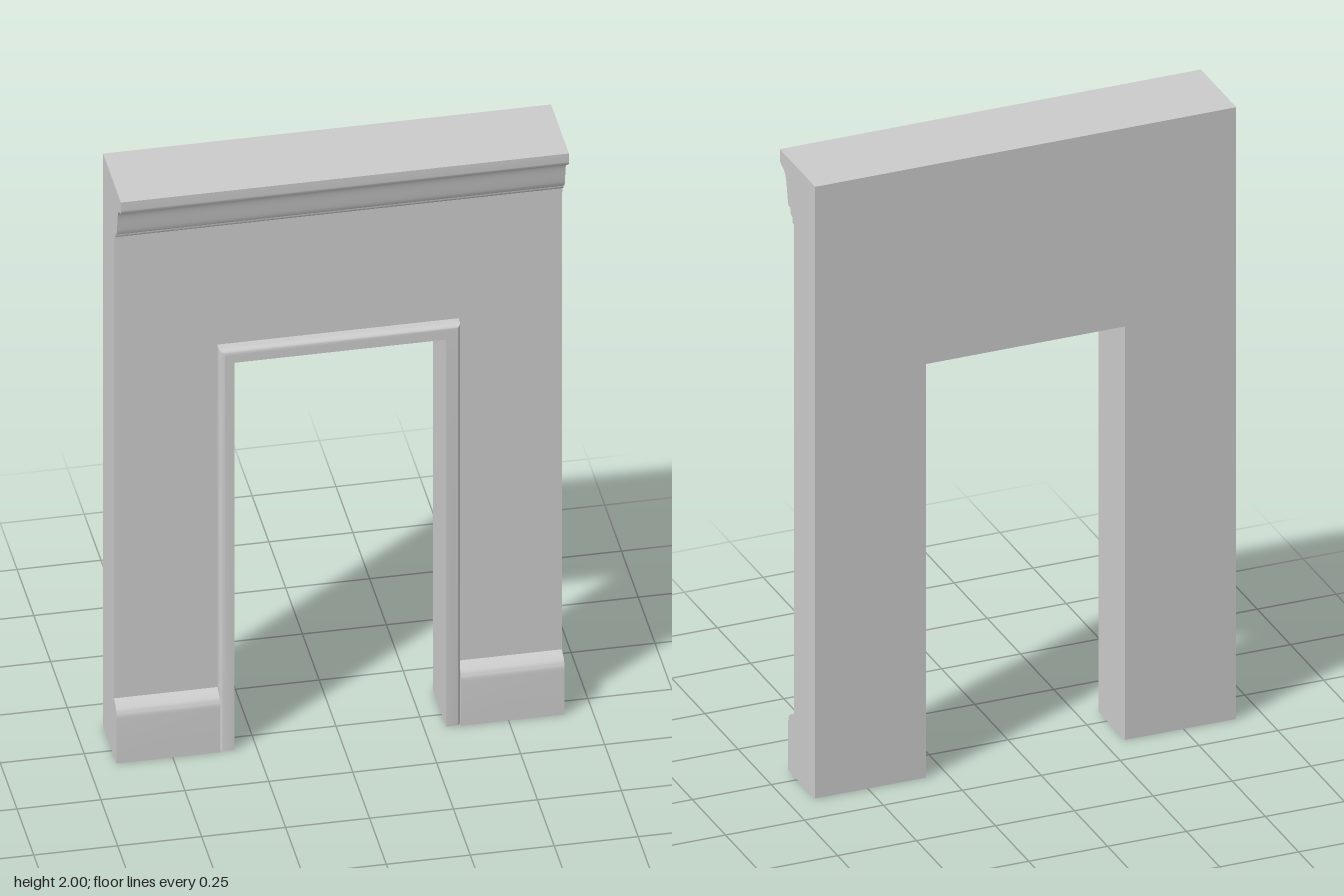
import * as THREE from 'three';
import { toCreasedNormals } from 'three/addons/utils/BufferGeometryUtils.js';

const W = 0.667;               // half width
const BACK = -0.133, WALL = 0.027; // back and front planes of the wall
const OX = 0.315, OY = 1.352;  // opening half width and height
const TRIM = 0.044;            // trim width
const BASE_TOP = 0.2, CORNICE_BOTTOM = 1.803;

const material = new THREE.MeshStandardMaterial({ color: 0xcccccc, side: THREE.DoubleSide });

// Skin a surface over rows of [x, y, z] points
function loft(rows) {
  const pos = [];
  for (let i = 0; i < rows.length - 1; i++) {
    for (let j = 0; j < rows[i].length - 1; j++) {
      const a = rows[i][j], b = rows[i + 1][j], c = rows[i + 1][j + 1], d = rows[i][j + 1];
      pos.push(...a, ...b, ...c, ...a, ...c, ...d);
    }
  }
  const g = new THREE.BufferGeometry();
  g.setAttribute('position', new THREE.Float32BufferAttribute(pos, 3));
  g.computeVertexNormals();
  return toCreasedNormals(g, 0.6);
}

// Run a [z, y] profile straight along x
const run = (profile, x0, x1) => loft([x0, x1].map(x => profile.map(([z, y]) => [x, y, z])));

// Flat cap of a [z, y] outline at a given x, facing +x or -x
function cap(outline, x, dir) {
  const shape = new THREE.Shape(outline.map(([z, y]) => new THREE.Vector2(-dir * z, y)));
  return new THREE.ShapeGeometry(shape).rotateY(dir * Math.PI / 2).translate(x, 0, 0);
}

// Flat wall panel with a doorway notch cut up from its bottom edge
function notched(bottom, top, nx, ny) {
  const pts = [[-W, bottom], [-nx, bottom], [-nx, ny], [nx, ny], [nx, bottom], [W, bottom], [W, top], [-W, top]];
  return new THREE.ShapeGeometry(new THREE.Shape(pts.map(p => new THREE.Vector2(...p))));
}

// Sample a cubic curve between [u, v] points
function bezier(a, b, c, d, n = 10) {
  const v = p => new THREE.Vector2(...p);
  return new THREE.CubicBezierCurve(v(a), v(b), v(c), v(d)).getPoints(n).map(p => [p.x, p.y]);
}

export function createModel() {
  const group = new THREE.Group();
  const add = (name, geometry) => {
    const mesh = new THREE.Mesh(geometry, material);
    mesh.name = name;
    group.add(mesh);
  };

  // Moulding profiles, bottom to top, as [z, y]
  const baseProfile = [
    [0.07, 0],
    ...bezier([0.07, 0.155], [0.07, 0.185], [0.05, 0.192], [WALL, BASE_TOP]),
  ];
  const corniceProfile = [
    [WALL, CORNICE_BOTTOM], [0.038, CORNICE_BOTTOM], [0.038, 1.822],
    ...bezier([0.042, 1.822], [0.052, 1.824], [0.054, 1.832], [0.054, 1.845], 6),
    [0.066, 1.845],
    ...bezier([0.07, 1.85], [0.084, 1.9], [0.08, 1.945], [0.112, 1.95]),
    ...bezier([0.116, 1.953], [0.126, 1.954], [0.133, 1.96], [0.133, 1.97], 6),
    [0.133, 2],
  ];

  // Wall faces
  add('wallFront', notched(BASE_TOP, CORNICE_BOTTOM, OX + TRIM, OY + TRIM).translate(0, 0, WALL));
  add('wallBack', notched(0, 2, OX, OY).rotateY(Math.PI).translate(0, 0, BACK));

  // Cornice, with the flat top running to the back
  add('cornice', run([...corniceProfile, [BACK, 2]], -W, W));

  // Side faces and baseboards, mirrored
  const sideOutline = [[BACK, 0], ...baseProfile, ...corniceProfile, [BACK, 2]];
  for (const [side, s] of [['left', 1], ['right', -1]]) {
    const inner = OX + TRIM;
    add(side + 'WallSide', cap(sideOutline, s * W, s));
    add(side + 'Baseboard', s > 0 ? run(baseProfile, inner, W) : run(baseProfile, -W, -inner));
    add(side + 'BaseboardEnd', cap([[WALL, 0], ...baseProfile], s * inner, -s));
  }

  // Door jambs and rounded trim: [offset from opening, z] swept round the doorway with mitres
  const trimProfile = [
    [0, BACK], [0, 0.066], [0.026, 0.066],
    ...bezier([0.028, 0.066], [0.037, 0.066], [TRIM, 0.06], [TRIM, 0.048], 8),
    [TRIM, WALL],
  ];
  const corners = [[-1, 0], [-1, 1], [1, 1], [1, 0]];
  add('doorwayTrim', loft(corners.map(([sx, up]) =>
    trimProfile.map(([o, z]) => [sx * (OX + o), up * (OY + o), z]))));

  return group;
}
